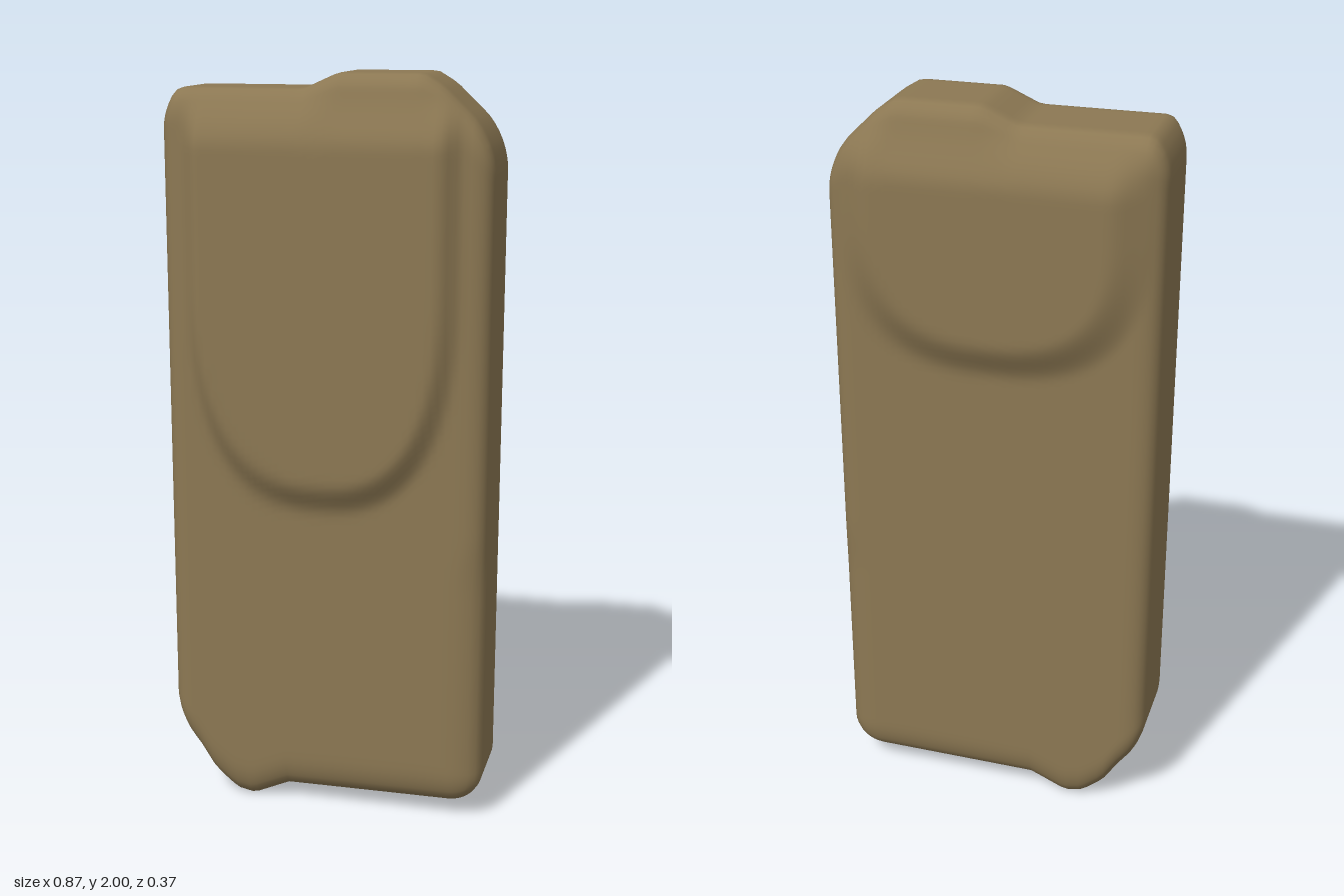
import * as THREE from 'three';
import { mergeVertices } from 'three/addons/utils/BufferGeometryUtils.js';

// Outline of the two ends as [x, y] points
const TOP = [[-0.435, 1.94], [-0.4, 1.96], [-0.06, 1.96], [0.03, 2], [0.25, 2], [0.3, 1.97], [0.435, 1.84]];
const BOTTOM = [[-0.435, 0.21], [-0.37, 0.14], [-0.32, 0.06], [-0.26, 0.01], [-0.21, 0], [-0.11, 0.045], [0.435, 0.05]];

function sample(points, x) {
  for (let i = 1; i < points.length; i++) {
    const [x0, y0] = points[i - 1], [x1, y1] = points[i];
    if (x <= x1) return y0 + (y1 - y0) * Math.max(0, (x - x0) / (x1 - x0));
  }
  return points[points.length - 1][1];
}

// Rounds one box coordinate set with its own radius on each axis
function roundCorner(p, half, r) {
  const inner = p.clone().clamp(half.clone().sub(r).negate(), half.clone().sub(r));
  const d = p.clone().sub(inner).divide(r);
  return d.lengthSq() > 0 ? inner.add(d.normalize().multiply(r)) : inner;
}

// Raised U-shaped pad: 1 inside, fading to 0 at its rim and towards the top
function pad(x, y, halfWidth, centreY, height, innerEdge) {
  const down = Math.max(0, centreY - y) / height;
  const f = Math.pow(Math.pow(Math.abs(x) / halfWidth, 2.6) + Math.pow(down, 2.6), 1 / 2.6);
  return (1 - THREE.MathUtils.smoothstep(f, innerEdge, 1)) * (1 - THREE.MathUtils.smoothstep(y, 1.81, 1.95));
}

export function createModel() {
  const group = new THREE.Group();
  group.name = 'roundedSlab';
  const bronze = new THREE.MeshStandardMaterial({ color: 0x8c7853 });
  bronze.name = 'bronze';

  const half = new THREE.Vector3(0.435, 1, 0.142);
  let geometry = new THREE.BoxGeometry(0.87, 2, 0.284, 48, 100, 16);
  geometry.deleteAttribute('uv');
  geometry.deleteAttribute('normal');
  geometry = mergeVertices(geometry, 1e-4);

  const pos = geometry.attributes.position;
  const p = new THREE.Vector3();
  for (let i = 0; i < pos.count; i++) {
    p.fromBufferAttribute(pos, i);
    // the right edge is softer towards the bottom
    const soft = p.x > 0 ? 1 - THREE.MathUtils.smoothstep(p.y, -0.35, -0.15) : 0;
    const q = roundCorner(p, half, new THREE.Vector3(0.06 + 0.03 * soft, 0.1, 0.05));
    // fit the two ends to the outline
    const low = sample(BOTTOM, q.x), high = sample(TOP, q.x);
    const y = low + (q.y + 1) / 2 * (high - low);
    // swell the front and back pads
    const swell = q.z > 0 ? pad(q.x + 0.01, y, 0.37, 1.5, 0.65, 0.85) : pad(q.x, y, 0.41, 1.72, 0.42, 0.73);
    pos.setXYZ(i, q.x, y, q.z * (1 + 0.29 * swell));
  }
  geometry.computeVertexNormals();

  const body = new THREE.Mesh(geometry, bronze);
  body.name = 'body';
  group.add(body);
  return group;
}
